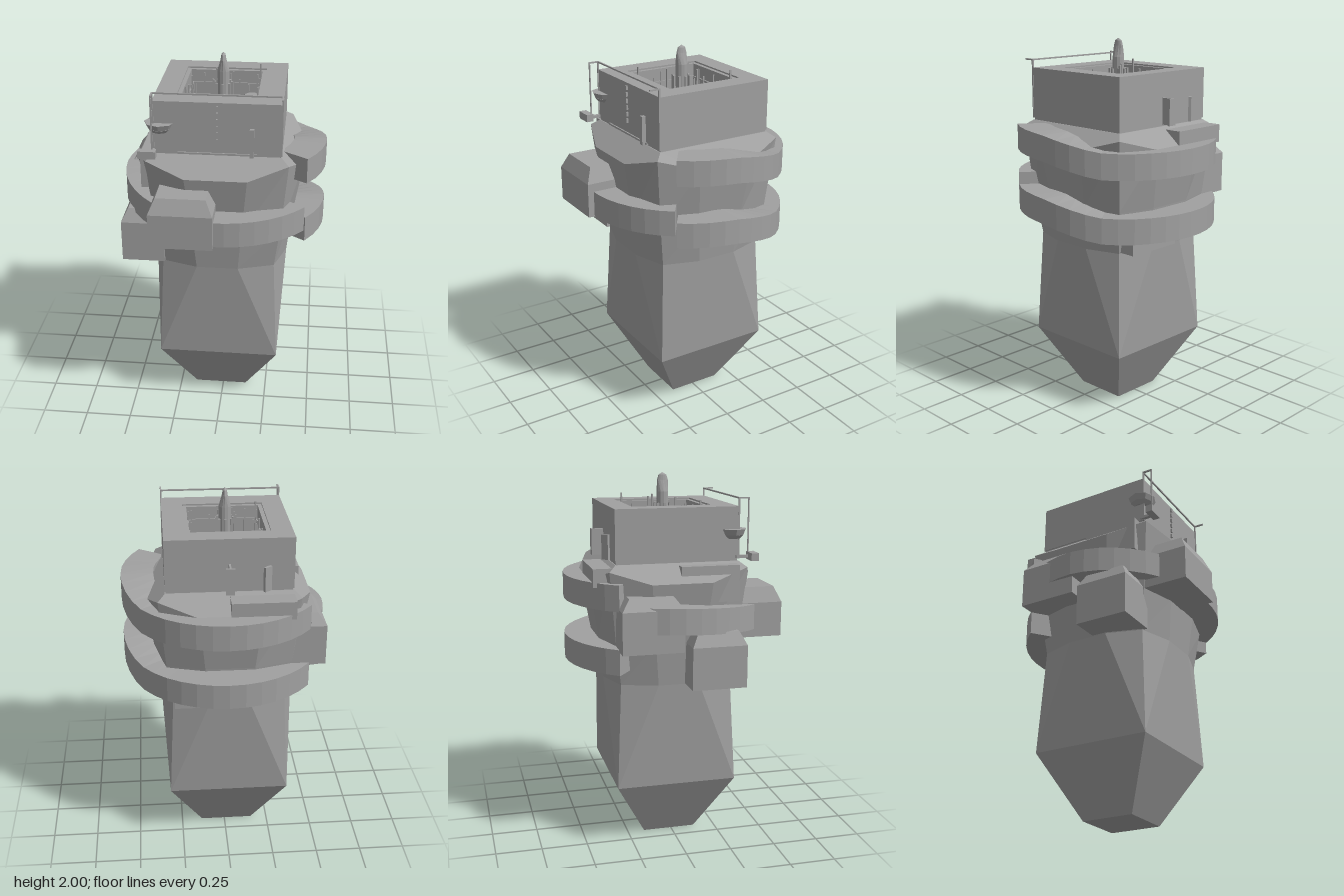
import * as THREE from 'three';

const hull = new THREE.MeshStandardMaterial({ color: 0xa0a0a0 });
hull.name = 'hullGrey';
hull.flatShading = true;
const C = -0.012; // axis of the tower in x and z

// Skin a stack of closed rings and cap both ends
function loft(rings) {
  const pos = [];
  const tri = (a, b, c) => {
    const n = b.clone().sub(a).cross(c.clone().sub(a));
    if (n.length() > 1e-8) for (const p of [a, b, c]) pos.push(p.x, p.y, p.z);
  };
  const n = rings[0].length;
  for (let k = 0; k < rings.length - 1; k++) {
    for (let i = 0; i < n; i++) {
      const j = (i + 1) % n, lo = rings[k], up = rings[k + 1];
      tri(lo[i], up[i], lo[j]);
      tri(lo[j], up[i], up[j]);
    }
  }
  const first = rings[0], last = rings[rings.length - 1];
  for (let i = 1; i < n - 1; i++) {
    tri(first[0], first[i], first[i + 1]);
    tri(last[0], last[i + 1], last[i]);
  }
  const g = new THREE.BufferGeometry();
  g.setAttribute('position', new THREE.Float32BufferAttribute(pos, 3));
  g.computeVertexNormals();
  return g;
}

const V = (x, y, z) => new THREE.Vector3(x, y, z);

// Twelve-sided tower section: two points on each side plus the corners
function section([y, yCorner, a, d, c]) {
  const ring = [];
  for (let q = 0; q < 4; q++) {
    const ca = Math.round(Math.cos(q * Math.PI / 2)), sa = Math.round(Math.sin(q * Math.PI / 2));
    for (const [u, v, h] of [[d, a, y], [c, c, yCorner], [a, d, y]]) {
      ring.push(V(C + u * ca - v * sa, h, C + u * sa + v * ca));
    }
  }
  return ring;
}

// Block with its upper edges bevelled
function bevelBlock(x0, x1, y0, y1, z0, z1, drop, inset) {
  const ring = (y, s) => [V(x1 - s, y, z0 + s), V(x1 - s, y, z1 - s), V(x0 + s, y, z1 - s), V(x0 + s, y, z0 + s)];
  return loft([ring(y0, 0), ring(y1 - drop, 0), ring(y1, inset)]);
}

// Curved bumper following an arc; heights are [degrees, middle y] pairs
function bumper(heights, h) {
  const rings = [], start = heights[0][0], end = heights[heights.length - 1][0];
  const n = Math.ceil((end - start) / 9);
  for (let i = 0; i <= n; i++) {
    const deg = start + (end - start) * i / n;
    let k = 0;
    while (k < heights.length - 2 && deg > heights[k + 1][0]) k++;
    const [d0, y0] = heights[k], [d1, y1] = heights[k + 1];
    const y = THREE.MathUtils.lerp(y0, y1, (deg - d0) / (d1 - d0));
    const t = THREE.MathUtils.degToRad(deg);
    rings.push([[0.543, h], [0.543, -h], [0.37, -h], [0.37, h]].map(
      ([r, o]) => V(r * Math.cos(t), y + o, -0.013 + r * Math.sin(t))));
  }
  return loft(rings);
}

// Square plate with a square opening
function frame(half, hole, y, height) {
  const square = (P, s, x, z) => {
    const p = new P();
    p.moveTo(x - s, z - s); p.lineTo(x + s, z - s); p.lineTo(x + s, z + s); p.lineTo(x - s, z + s); p.closePath();
    return p;
  };
  const shape = square(THREE.Shape, half, C, -C);
  shape.holes.push(square(THREE.Path, hole, C, 0.018));
  const g = new THREE.ExtrudeGeometry(shape, { depth: height, bevelEnabled: false });
  return g.rotateX(-Math.PI / 2).translate(0, y, 0);
}

export function createModel() {
  const model = new THREE.Group();
  const add = (name, geo, x = 0, y = 0, z = 0) => {
    const m = new THREE.Mesh(geo, hull);
    m.name = name;
    m.position.set(x, y, z);
    model.add(m);
    return m;
  };
  const box = (name, x0, x1, y0, y1, z0, z1) =>
    add(name, new THREE.BoxGeometry(x1 - x0, y1 - y0, z1 - z0), (x0 + x1) / 2, (y0 + y1) / 2, (z0 + z1) / 2);

  // Tapered tower body
  add('towerBody', loft([
    [0, 0, 0.145, 0.145, 0.145],
    [0.345, 0.345, 0.327, 0.327, 0.327],
    [0.92, 0.92, 0.11, 0.36, 0.3],
    [1.15, 1.15, 0.13, 0.385, 0.33],
    [1.47, 1.53, 0.16, 0.44, 0.365],
    [1.56, 1.56, 0.327, 0.327, 0.327],
  ].map(section)));

  // Curved bumpers
  const wrap = [[-143, 1.405], [-50, 1.405], [-34, 1.41], [-14, 1.45], [2, 1.477], [35, 1.485]];
  add('upperBumper', bumper(wrap, 0.068));
  add('lowerBumper', bumper(wrap.map(([d, y]) => [d, y - 0.333]), 0.068));
  add('frontBumper', bumper([[36, 1.217], [127, 1.217]], 0.068));
  add('leftBumper', bumper([[128, 1.255], [160, 1.28], [180, 1.293], [216, 1.3]], 0.068));

  // Blocks attached around the body
  add('frontBlock', bevelBlock(-0.34, -0.013, 1.145, 1.41, 0.28, 0.562, 0.08, 0.036));
  add('lowerLeftBlock', bevelBlock(-0.53, -0.3, 0.925, 1.22, 0.02, 0.312, 0.07, 0.036));
  add('upperLeftBlock', bevelBlock(-0.52, -0.3, 1.13, 1.41, -0.342, -0.02, 0.06, 0.045));
  box('leftShoulder', -0.412, -0.33, 1.36, 1.55, -0.01, 0.3);
  box('backShoulder', -0.34, -0.012, 1.45, 1.545, -0.455, -0.3);
  box('backLowerBlock', -0.05, 0.28, 0.925, 1.01, -0.405, -0.3);

  // Head with its open pit
  box('headSeam', -0.334, 0.31, 1.55, 1.575, -0.334, 0.31);
  add('headWalls', frame(0.327, 0.193, 1.57, 0.264));
  add('headRim', frame(0.327, 0.215, 1.834, 0.008));
  box('pitFloor', -0.22, 0.2, 1.575, 1.6, -0.22, 0.19);

  // Hexagonal lattice inside the pit
  const r = 0.055;
  for (let i = -2; i <= 2; i++) {
    for (let j = -2; j <= 2; j++) {
      const x = C + i * 1.5 * r, z = -0.018 + (j + (i % 2 ? 0.5 : 0)) * Math.sqrt(3) * r;
      if (Math.abs(x - C) > 0.17 || Math.abs(z + 0.018) > 0.17) continue;
      add('latticeCell', new THREE.TorusGeometry(r, 0.005, 4, 6).rotateX(Math.PI / 2), x, 1.68, z);
    }
  }

  // Machinery and wall pipes
  box('machineBox', -0.165, -0.07, 1.6, 1.71, -0.09, 0.08);
  add('machineDrum', new THREE.CylinderGeometry(0.04, 0.04, 0.12, 12).rotateX(Math.PI / 2), -0.165, 1.65, 0.02);
  add('hexTank', new THREE.CylinderGeometry(0.04, 0.052, 0.12, 7), 0.128, 1.66, -0.15);
  for (let i = 0; i < 8; i++) {
    const s = -0.17 + i * 0.048, h = 0.16 + 0.06 * ((i * 5) % 3) / 2;
    for (const [x, z] of [[C + s, -0.2], [C + s, 0.164], [-0.194, s - 0.018], [0.17, s - 0.018]]) {
      box('wallPipe', x - 0.004, x + 0.004, 1.6, 1.6 + h, z - 0.004, z + 0.004);
    }
  }
  for (const y of [1.67, 1.76]) {
    for (const z of [-0.203, 0.167]) box('wallRail', -0.2, 0.176, y, y + 0.008, z - 0.004, z + 0.004);
    for (const x of [-0.197, 0.173]) box('wallRail', x - 0.004, x + 0.004, y, y + 0.008, -0.205, 0.17);
  }

  // Central mast: wide side to side in z, slim in x
  const mast = new THREE.LatheGeometry([
    [0, 1.6], [0.05, 1.6], [0.05, 1.72], [0.032, 1.76], [0.032, 1.9], [0.03, 1.96], [0.022, 1.987], [0, 2],
  ].map(([a, b]) => new THREE.Vector2(a, b)), 12);
  const p = mast.attributes.position;
  for (let i = 0; i < p.count; i++) {
    const y = p.getY(i);
    if (y > 1.9) p.setX(i, p.getX(i) * 0.5);
  }
  mast.computeVertexNormals();
  add('mast', mast, C, 0, C);
  for (let i = 0; i < 8; i++) {
    const t = i * Math.PI / 4;
    add('mastRib', new THREE.BoxGeometry(0.012, 0.2, 0.012), C + 0.045 * Math.cos(t), 1.74, C + 0.045 * Math.sin(t));
  }

  // Short antennas
  for (const [x, z, top] of [[-0.19, 0.15, 1.865], [-0.055, -0.08, 1.89], [0.035, -0.08, 1.87], [0.17, -0.2, 1.88], [-0.055, 0.05, 1.87]]) {
    box('antenna', x - 0.004, x + 0.004, 1.6, top, z - 0.004, z + 0.004);
  }

  // Front handrail
  box('railBar', -0.34, 0.317, 1.88, 1.888, 0.312, 0.32);
  for (const x of [-0.336, 0.313]) {
    box('railPost', x - 0.004, x + 0.004, 1.57, 1.888, 0.312, 0.32);
    box('railArm', x - 0.004, x + 0.004, 1.88, 1.888, 0.316, 0.37);
  }
  box('railDrop', -0.34, -0.332, 1.57, 1.888, 0.364, 0.37);

  // Ladder rungs and ledge on the front
  for (let i = 0; i < 6; i++) box('rung', -0.017, -0.007, 1.63 + i * 0.035, 1.652 + i * 0.035, 0.31, 0.326);
  box('frontLedge', -0.215, 0.19, 1.565, 1.575, 0.3, 0.322);

  // Corner lamp, side box and upright fins
  const lamp = add('cornerLamp', new THREE.CylinderGeometry(0.08, 0.065, 0.03, 8), -0.305, 1.71, 0.29);
  lamp.scale.set(1, 1, 0.95);
  add('cornerLampBase', new THREE.CylinderGeometry(0.065, 0.045, 0.02, 8), -0.305, 1.685, 0.29);
  box('sideBox', -0.405, -0.315, 1.565, 1.605, 0.365, 0.405);
  box('sideBoxArm', -0.35, -0.33, 1.575, 1.59, 0.3, 0.37);
  add('frontFin', new THREE.BoxGeometry(0.022, 0.15, 0.03), 0.163, 1.637, 0.322);
  box('backFinWeb', -0.016, -0.006, 1.57, 1.71, -0.4, -0.33);
  box('backFinPlate', -0.033, 0.013, 1.57, 1.71, -0.406, -0.394);
  const fin = add('backAngledFin', new THREE.BoxGeometry(0.045, 0.13, 0.015), -0.2, 1.635, -0.362);
  fin.rotation.y = 0.65;

  return model;
}
